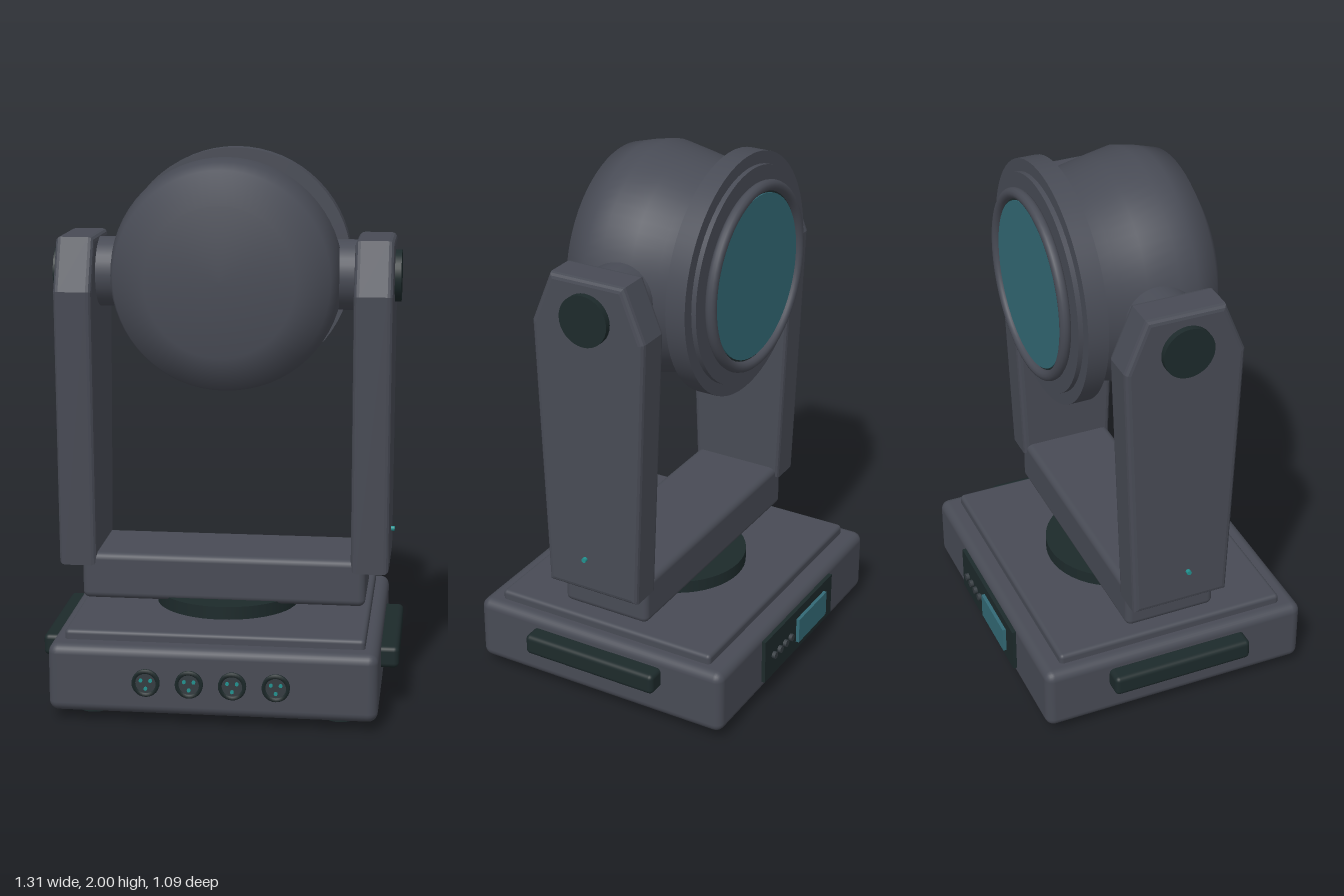
import * as THREE from 'three';
import { RoundedBoxGeometry } from 'three/addons/geometries/RoundedBoxGeometry.js';

const mat = (name, color) => {
  const m = new THREE.MeshStandardMaterial({ color });
  m.name = name;
  return m;
};

export function createModel() {
  const body = mat('grey housing', 0x484b55);
  const dark = mat('dark rubber', 0x1d2a2b);
  const glass = mat('teal glass', 0x336a76);
  const accent = mat('bright teal', 0x22918f);
  const button = mat('button grey', 0x343b40);

  const model = new THREE.Group();
  model.name = 'movingHeadLight';
  const add = (name, geometry, material, x = 0, y = 0, z = 0, parent = model) => {
    const mesh = new THREE.Mesh(geometry, material);
    mesh.name = name;
    mesh.position.set(x, y, z);
    parent.add(mesh);
    return mesh;
  };
  const rbox = (w, h, d, r) => new RoundedBoxGeometry(w, h, d, 3, r);
  // cylinders along each axis
  const cylY = (r, h, n = 32) => new THREE.CylinderGeometry(r, r, h, n);
  const cylX = (r, h, n = 32) => cylY(r, h, n).rotateZ(Math.PI / 2);
  const cylZ = (r, h, n = 32) => cylY(r, h, n).rotateX(Math.PI / 2);
  const latheZ = (pts, n = 64) =>
    new THREE.LatheGeometry(pts.map(([r, z]) => new THREE.Vector2(r, z)), n).rotateX(Math.PI / 2);

  // base
  add('base', rbox(1.18, 0.25, 1.035, 0.035), body, 0, 0.16, 0);
  add('baseTopPlate', rbox(1.08, 0.08, 0.89, 0.015), body, 0, 0.28, 0);
  add('panBearing', cylY(0.265, 0.06, 48), dark, 0, 0.338, 0);
  for (const sx of [-1, 1]) {
    add('sideHandle', rbox(0.08, 0.08, 0.545, 0.018), dark, sx * 0.615, 0.2, 0);
    for (const sz of [-1, 1]) add('foot', cylY(0.058, 0.05, 24), dark, sx * 0.45, 0.025, sz * 0.355);
  }

  // front sockets with three pins each
  for (const x of [-0.232, -0.077, 0.077, 0.232]) {
    const socket = new THREE.Group();
    socket.name = 'socket';
    socket.position.set(x, 0.163, 0.515);
    model.add(socket);
    add('socketRing', latheZ([[0.042, 0], [0.042, 0.012], [0.05, 0.016], [0.05, 0.027], [0.037, 0.029], [0.037, 0.015]], 28),
      dark, 0, 0, 0, socket);
    add('socketFace', cylZ(0.038, 0.02, 24), button, 0, 0, 0.012, socket);
    for (let i = 0; i < 3; i++) {
      const a = Math.PI / 6 + (i * Math.PI * 2) / 3;
      add('socketPin', cylZ(0.007, 0.012, 8), accent, Math.cos(a) * 0.02, Math.sin(a) * 0.02, 0.022, socket);
    }
  }

  // rear control panel
  add('controlPanel', new THREE.BoxGeometry(0.55, 0.175, 0.02), dark, 0, 0.168, -0.522);
  add('displayScreen', new THREE.BoxGeometry(0.23, 0.1, 0.016), glass, -0.09, 0.168, -0.537);
  for (let i = 0; i < 4; i++)
    add('panelButton', cylZ(0.014, 0.018, 12), button, 0.075 + i * 0.045, 0.168, -0.536);

  // yoke crossbar
  add('yokeCrossbar', rbox(1.05, 0.175, 0.35, 0.025), body, 0, 0.443, 0);

  // yoke arms: tapered side profile with clipped top corners
  const profile = new THREE.Shape(
    [[-0.183, 0.485], [0.183, 0.485], [0.222, 1.51], [0.145, 1.7], [-0.145, 1.7], [-0.222, 1.51]]
      .map(([z, y]) => new THREE.Vector2(z, y)));
  const bevel = 0.02;
  const armGeometry = new THREE.ExtrudeGeometry(profile, {
    depth: 0.14 - 2 * bevel, bevelEnabled: true, bevelThickness: bevel,
    bevelSize: bevel, bevelOffset: -bevel, bevelSegments: 3,
  });
  armGeometry.translate(0, 0, -0.07 + bevel).rotateY(-Math.PI / 2);
  for (const sx of [-1, 1]) {
    add('yokeArm', armGeometry, body, sx * 0.54, 0, 0);
    add('tiltHub', cylX(0.128, 0.16), body, sx * 0.41, 1.56, 0);
    add('tiltCap', cylX(0.094, 0.04), dark, sx * 0.613, 1.56, 0);
    add('armIndicator', cylX(0.009, 0.03, 10), accent, sx * 0.609, 0.62, 0.025);
  }

  // head: turned shell, lens at the rear
  const head = new THREE.Group();
  head.name = 'head';
  head.position.set(0, 1.56, 0);
  model.add(head);
  add('headShell', latheZ([[0.385, -0.23], [0.385, -0.14], [0.405, -0.04], [0.425, 0.07],
    [0.412, 0.14], [0.39, 0.22], [0.27, 0.28], [0, 0.28]]), body, 0, 0, 0, head);
  add('headFlange', cylZ(0.44, 0.075, 64), body, 0, 0, -0.245, head);
  add('lensStep', cylZ(0.395, 0.03, 64), body, 0, 0, -0.285, head);
  add('lensBezel', new THREE.TorusGeometry(0.326, 0.02, 12, 64), body, 0, 0, -0.32, head);
  add('lensSeat', cylZ(0.318, 0.03, 64), dark, 0, 0, -0.304, head);
  add('lens', cylZ(0.3, 0.03, 64), glass, 0, 0, -0.309, head);

  return model;
}
